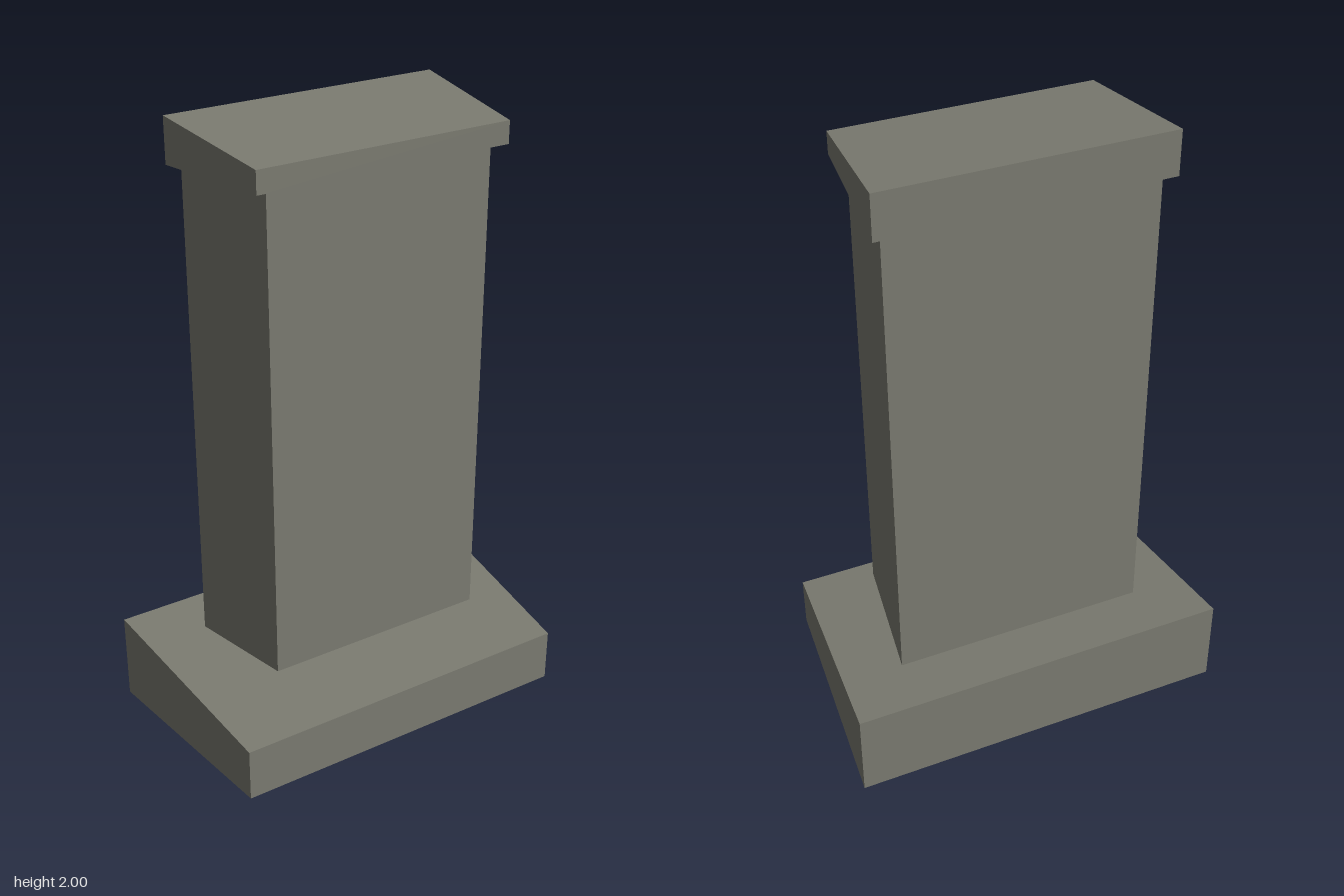
import * as THREE from 'three';

// Block whose back face is larger than its front face.
// Each end is { x: half width, y0: bottom, y1: top, z: depth position }.
function taperedBlock(name, front, back, material) {
  const geometry = new THREE.BoxGeometry(2, 2, 2);
  const pos = geometry.attributes.position;
  for (let i = 0; i < pos.count; i++) {
    const end = pos.getZ(i) > 0 ? front : back;
    pos.setXYZ(i, Math.sign(pos.getX(i)) * end.x, pos.getY(i) > 0 ? end.y1 : end.y0, end.z);
  }
  geometry.computeVertexNormals();
  const mesh = new THREE.Mesh(geometry, material);
  mesh.name = name;
  return mesh;
}

export function createModel() {
  const model = new THREE.Group();
  model.name = 'pedestal';

  const stone = new THREE.MeshStandardMaterial({ color: 0x7a7a70 });
  stone.name = 'grey stone';

  model.add(
    // Wide foot on the ground
    taperedBlock('base',
      { x: 0.565, y0: 0.06, y1: 0.236, z: 0.37 },
      { x: 0.622, y0: 0, y1: 0.295, z: -0.37 }, stone),
    // Tall column, its top tucked into the cap
    taperedBlock('shaft',
      { x: 0.365, y0: 0.345, y1: 1.9, z: 0.198 },
      { x: 0.415, y0: 0.297, y1: 1.94, z: -0.193 }, stone),
    // Sloping cap
    taperedBlock('cap',
      { x: 0.408, y0: 1.895, y1: 1.964, z: 0.225 },
      { x: 0.447, y0: 1.859, y1: 2, z: -0.225 }, stone),
  );
  return model;
}
